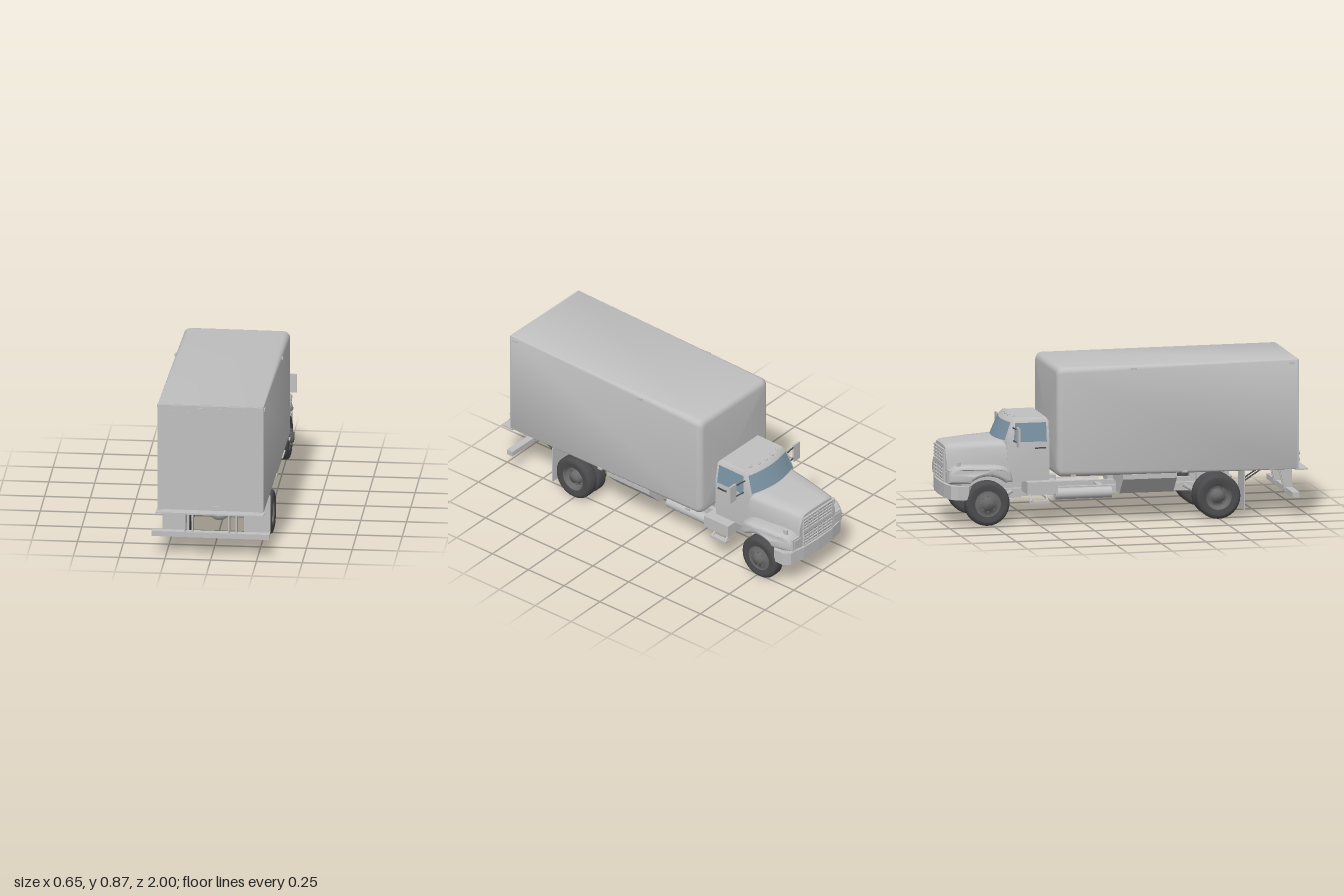
import * as THREE from 'three';
import { toCreasedNormals } from 'three/addons/utils/BufferGeometryUtils.js';

const mat = (name, color, side = THREE.FrontSide) => {
  const m = new THREE.MeshStandardMaterial({ color, side });
  m.name = name;
  return m;
};

// Skin over rings of points (each ring counter-clockwise about the sweep axis), capped at both ends
function loft(rings, crease = 0.6) {
  const n = rings[0].length, pos = rings.flat(2), idx = [];
  rings.slice(1).forEach((_, i) => {
    for (let j = 0; j < n; j++) {
      const a = i * n + j, b = i * n + (j + 1) % n;
      idx.push(a, b, b + n, a, b + n, a + n);
    }
  });
  [0, rings.length - 1].forEach((r, end) => {
    const c = pos.length / 3;
    pos.push(...[0, 1, 2].map(k => rings[r].reduce((s, p) => s + p[k], 0) / n));
    for (let j = 0; j < n; j++) {
      const a = r * n + j, b = r * n + (j + 1) % n;
      end ? idx.push(c, a, b) : idx.push(c, b, a);
    }
  });
  const g = new THREE.BufferGeometry();
  g.setAttribute('position', new THREE.Float32BufferAttribute(pos, 3));
  g.setIndex(idx);
  return toCreasedNormals(g, crease);
}

// Open sheet through rows of points
function sheet(rows) {
  const n = rows[0].length, idx = [];
  for (let i = 0; i < rows.length - 1; i++) for (let j = 0; j < n - 1; j++) {
    const a = i * n + j;
    idx.push(a, a + 1, a + n + 1, a, a + n + 1, a + n);
  }
  const g = new THREE.BufferGeometry();
  g.setAttribute('position', new THREE.Float32BufferAttribute(rows.flat(2), 3));
  g.setIndex(idx);
  g.computeVertexNormals();
  return g;
}

// Rounded rectangle ring in the xy plane
function roundRing(w, y0, y1, r, z) {
  const ring = [], cy = (y0 + y1) / 2, h = (y1 - y0) / 2;
  [[1, 1], [-1, 1], [-1, -1], [1, -1]].forEach(([sx, sy], q) => {
    for (let k = 0; k <= 5; k++) {
      const a = (q + k / 5) * Math.PI / 2;
      ring.push([sx * (w - r) + r * Math.cos(a), cy + sy * (h - r) + r * Math.sin(a), z]);
    }
  });
  return ring;
}

const poly = pts => new THREE.Shape(pts.map(p => new THREE.Vector2(...p)));

// Side profile (z, y) extruded across x
function extrudeX(shape, x0, x1, bevel = 0) {
  const g = new THREE.ExtrudeGeometry(shape, { depth: x1 - x0 - 2 * bevel, bevelEnabled: bevel > 0,
    bevelSize: bevel, bevelOffset: -bevel, bevelThickness: bevel, bevelSegments: 3, curveSegments: 16 });
  return g.rotateY(-Math.PI / 2).translate(x1 - bevel, 0, 0);
}

export function createModel() {
  const root = new THREE.Group(), truck = new THREE.Group();
  root.name = 'boxTruck';
  truck.name = 'truck';
  truck.rotation.y = -0.018;
  truck.position.x = 0.011;
  root.add(truck);

  const body = mat('bodyGrey', 0xc0c0c0), dark = mat('tyreBlack', 0x4c4c4e);
  const rim = mat('rimGrey', 0x6a6a6a, THREE.DoubleSide), glass = mat('windowGlass', 0x7a92a2, THREE.DoubleSide);
  const add = (name, geo, m = body) => {
    const mesh = new THREE.Mesh(geo, m);
    mesh.name = name;
    truck.add(mesh);
    return mesh;
  };
  const box = (name, x0, x1, y0, y1, z0, z1, m) => add(name, new THREE.BoxGeometry(x1 - x0, y1 - y0, z1 - z0)
    .translate((x0 + x1) / 2, (y0 + y1) / 2, (z0 + z1) / 2), m);
  const boxes = (name, x0, x1, ...rest) => {
    box(name, x0, x1, ...rest);
    box(name, -x1, -x0, ...rest);
  };
  const rod = (name, a, b, r, m) => {
    const p = new THREE.Vector3(...a), q = new THREE.Vector3(...b), d = q.clone().sub(p);
    const mesh = add(name, new THREE.CylinderGeometry(r, r, d.length(), 14), m);
    mesh.position.copy(p.add(q).multiplyScalar(0.5));
    mesh.quaternion.setFromUnitVectors(new THREE.Vector3(0, 1, 0), d.normalize());
  };

  // Cargo box: rounded at the cab end, sharp at the rear
  const R = 0.035, rings = [];
  for (let i = 0; i <= 5; i++) {
    const a = i / 5 * Math.PI / 2, inset = R * (1 - Math.sin(a));
    rings.push(roundRing(0.29 - inset, 0.26 + inset, 0.865 - inset, R, -0.4 + R * (1 - Math.cos(a))));
  }
  rings.push(roundRing(0.29, 0.26, 0.865, 0.004, 0.94));
  add('cargoBox', loft(rings));
  box('rearDoor', -0.26, 0.26, 0.275, 0.83, 0.94, 0.944);
  boxes('doorPost', 0.262, 0.29, 0.262, 0.863, 0.94, 0.949);
  box('doorHeader', -0.262, 0.262, 0.832, 0.863, 0.94, 0.949);
  box('rearLedge', -0.295, 0.295, 0.255, 0.263, 0.93, 0.998);
  box('doorHandle', 0.01, 0.05, 0.286, 0.293, 0.944, 0.952);
  for (const x of [-0.055, 0, 0.05]) box('rearMarker', x - 0.012, x + 0.012, 0.842, 0.85, 0.949, 0.954);
  for (const s of [-1, 1]) {
    for (const y of [0.315, 0.35]) rod('tailLight', [s * 0.276, y, 0.945], [s * 0.276, y, 0.954], 0.012);
    for (const [y, z] of [[0.845, 0.91], [0.845, 0.03], [0.27, 0.31], [0.27, -0.31]])
      box('sideMarker', s * 0.292 - 0.004, s * 0.292 + 0.004, y - 0.006, y + 0.006, z - 0.015, z + 0.015);
  }

  // Cab with a curved front
  const cabRing = (y, w, back, front, curve) => {
    const r = [[w, y, back]];
    for (let k = 6; k >= -6; k--) r.push([w * k / 6, y, front + curve * (k / 6) ** 2]);
    return [...r, [-w, y, back]];
  };
  add('cab', loft([cabRing(0.23, 0.183, -0.42, -0.66, 0.02), cabRing(0.45, 0.187, -0.42, -0.70, 0.04),
    cabRing(0.56, 0.168, -0.422, -0.645, 0.025), cabRing(0.577, 0.155, -0.435, -0.625, 0.02)], 0.5));
  const screenRow = y => {
    const u = (y - 0.45) / 0.11, row = [];
    for (let k = -6; k <= 6; k++)
      row.push([(0.187 - 0.019 * u) * 0.93 * k / 6, y, -0.704 + 0.055 * u + (0.04 - 0.015 * u) * (0.93 * k / 6) ** 2]);
    return row;
  };
  add('windshield', sheet([screenRow(0.458), screenRow(0.553)]), glass);
  for (const s of [-1, 1]) {
    add('sideWindow', sheet([[[s * 0.19, 0.447, -0.435], [s * 0.19, 0.447, -0.62]],
      [[s * 0.1725, 0.55, -0.435], [s * 0.1725, 0.55, -0.607]]]), glass);
    for (const y of [0.455, 0.525]) rod('mirrorArm', [s * 0.17, y, -0.62], [s * 0.25, y, -0.61], 0.004, dark);
  }
  boxes('mirror', 0.245, 0.296, 0.435, 0.54, -0.617, -0.607);
  boxes('doorHandle', 0.185, 0.193, 0.408, 0.415, -0.50, -0.44, dark);
  for (let i = -2; i <= 2; i++)
    add('roofLight', new THREE.SphereGeometry(0.009, 10, 6).translate(i * 0.055, 0.579, -0.622 + 0.004 * i * i));

  // Hood
  const hoodRing = (z, wb, wt, top) => {
    const half = [[wb, 0.23], [wb, 0.34], [wt + 0.008, top - 0.035], [wt, top - 0.014], [wt - 0.02, top - 0.003], [wt * 0.5, top]];
    return [...half.map(([x, y]) => [x, y, z]), ...half.reverse().map(([x, y]) => [-x, y, z])];
  };
  add('hood', loft([hoodRing(-0.985, 0.15, 0.122, 0.428), hoodRing(-0.972, 0.152, 0.13, 0.437),
    hoodRing(-0.82, 0.17, 0.152, 0.449), hoodRing(-0.64, 0.185, 0.178, 0.457)], 0.7));

  // Grille and headlights
  box('grilleRecess', -0.122, 0.122, 0.235, 0.408, -0.988, -0.982, rim);
  for (let i = 0; i <= 9; i++) {
    const y = 0.237 + i * 0.0188;
    box('grilleBar', -0.124, 0.124, y - 0.004, y + 0.004, -0.996, -0.984);
  }
  for (let i = -3; i <= 3; i++) box('grillePost', i * 0.04 - 0.003, i * 0.04 + 0.003, 0.235, 0.408, -0.994, -0.984);
  box('grilleDivider', -0.126, 0.126, 0.312, 0.328, -0.997, -0.984);
  boxes('headlightFrame', 0.13, 0.205, 0.24, 0.305, -0.984, -0.95);
  boxes('headlight', 0.14, 0.195, 0.25, 0.295, -0.989, -0.983);

  // Fenders arched over the front wheels, narrowing to both ends in plan
  const arch = new THREE.Shape();
  arch.moveTo(-0.63, 0.235);
  arch.lineTo(-0.64, 0.29);
  arch.quadraticCurveTo(-0.66, 0.325, -0.74, 0.328);
  arch.lineTo(-0.9, 0.332);
  arch.quadraticCurveTo(-0.97, 0.33, -0.983, 0.28);
  arch.lineTo(-0.985, 0.235);
  arch.lineTo(-0.875, 0.235);
  arch.absarc(-0.775, 0.12, 0.152, Math.PI * 0.728, Math.PI * 0.272, true);
  for (const s of [-1, 1]) {
    const g = extrudeX(arch, s > 0 ? 0.12 : -0.252, s > 0 ? 0.252 : -0.12, 0.018), p = g.attributes.position;
    for (let i = 0; i < p.count; i++) {
      const z = p.getZ(i), cut = Math.max(0, -0.87 - z) * 0.3 + Math.max(0, z + 0.7) * 0.3;
      p.setX(i, p.getX(i) - s * cut);
    }
    g.deleteAttribute('normal');
    add('fender', toCreasedNormals(g, 0.7));
    rod('fenderLight', [s * 0.2, 0.325, -0.93], [s * 0.2, 0.352, -0.93], 0.012);
  }

  // Wraparound front bumper
  const outer = [[0.24, -0.88], [0.24, -0.94], [0.21, -0.975], [0.12, -0.992], [0, -0.997]];
  const right = outer.map(([x, z]) => [x * 0.9, z + 0.02]);
  const flip = a => a.slice(0, -1).map(([x, z]) => [-x, z]);
  const bumper = poly([...outer, ...flip(outer).reverse(), ...flip(right), ...right.reverse()]);
  add('frontBumper', new THREE.ExtrudeGeometry(bumper, { depth: 0.075, bevelEnabled: false })
    .rotateX(Math.PI / 2).translate(0, 0.222, 0));

  // Wheels
  function wheel(x, z, s, w, front) {
    const h = w / 2, turn = g => g.rotateZ(-s * Math.PI / 2).translate(x, 0.123, z);
    const lathe = pts => turn(new THREE.LatheGeometry(pts.map(p => new THREE.Vector2(...p)), 32));
    add('tyre', lathe([[0.072, -h + 0.006], [0.1, -h], [0.114, -h + 0.005], [0.123, -h + 0.016],
      [0.123, h - 0.016], [0.114, h - 0.005], [0.1, h], [0.072, h - 0.006]]), dark);
    add('rim', lathe(front
      ? [[0.074, h - 0.006], [0.066, h - 0.014], [0.052, h - 0.004], [0.034, h], [0.028, h + 0.016], [0, h + 0.02]]
      : [[0.074, h - 0.006], [0.067, h - 0.01], [0.06, h - 0.04], [0.036, h - 0.04], [0.03, h - 0.01], [0, h - 0.006]]), rim);
    add('rimBack', turn(new THREE.CylinderGeometry(0.073, 0.073, 0.01, 32).translate(0, -h + 0.02, 0)), rim);
    for (let i = 0; i < 8; i++) {
      const a = i * Math.PI / 4, r = front ? 0.043 : 0.048;
      add('wheelNut', turn(new THREE.CylinderGeometry(0.005, 0.005, 0.012, 6)
        .translate(r * Math.cos(a), front ? h : h - 0.036, r * Math.sin(a))), rim);
    }
  }
  for (const s of [-1, 1]) {
    wheel(s * 0.211, -0.775, s, 0.076, true);
    wheel(s * 0.262, 0.5, s, 0.074, false);
    wheel(s * 0.183, 0.5, -s, 0.074, false);
  }

  // Chassis, axles and drive line
  boxes('frameRail', 0.075, 0.1, 0.135, 0.178, -0.94, 0.62);
  for (const z of [-0.88, -0.4, -0.1, 0.25, 0.6]) box('crossMember', -0.08, 0.08, 0.14, 0.17, z - 0.015, z + 0.015);
  boxes('boxMount', 0.075, 0.1, 0.17, 0.262, 0.42, 0.6);
  box('centreMount', -0.11, 0.11, 0.175, 0.262, 0, 0.25);
  rod('rearAxle', [-0.22, 0.123, 0.5], [0.22, 0.123, 0.5], 0.025);
  add('differential', new THREE.SphereGeometry(0.06, 20, 14).translate(0, 0.125, 0.5));
  rod('driveShaft', [0, 0.125, 0.45], [0, 0.15, -0.6], 0.014);
  box('gearbox', -0.06, 0.06, 0.12, 0.23, -0.88, -0.55);
  rod('frontAxle', [-0.2, 0.11, -0.775], [0.2, 0.11, -0.775], 0.02);
  for (const s of [-1, 1]) {
    for (const z of [0.5, -0.775]) {
      const leaf = new THREE.QuadraticBezierCurve3(new THREE.Vector3(s * 0.118, 0.17, z - 0.16),
        new THREE.Vector3(s * 0.118, 0.06, z), new THREE.Vector3(s * 0.118, 0.17, z + 0.16));
      add('leafSpring', new THREE.TubeGeometry(leaf, 12, 0.012, 6));
    }
    rod('airTank', [s * 0.16, 0.15, -0.07], [s * 0.16, 0.15, -0.385], 0.031);

    // Slanted side lockers
    const locker = [[0.1, 0.262], [0.1, 0.145], [0.19, 0.145], [0.28, 0.235], [0.28, 0.262]].map(([x, y]) => [s * x, y]);
    add('sideLocker', new THREE.ExtrudeGeometry(poly(locker), { depth: 0.3, bevelEnabled: false }).translate(0, 0, -0.03));

    // Hanging step loop
    const step = [[0.18, 0.17], [0.235, 0.12]];
    for (const z of [-0.44, -0.53]) rod('stepBracket', [s * step[0][0], 0.17, z], [s * step[1][0], 0.125, z], 0.006);

    // Rear bumper struts
    for (const x of [0.1, 0.14]) add('bumperStrut', extrudeX(poly([[0.87, 0.258], [0.94, 0.258], [0.945, 0.11], [0.905, 0.11]]),
      s * x - 0.004, s * x + 0.004));
    for (const x of [0.2, 0.253]) {
      rod('flapBrace', [s * x, 0.258, 0.74], [s * x, 0.2, 0.65], 0.004, dark);
      rod('flapBrace', [s * x, 0.258, 0.65], [s * x, 0.18, 0.65], 0.004, dark);
    }
  }
  boxes('stepBox', 0.1, 0.242, 0.165, 0.232, -0.555, -0.385);
  boxes('stepTread', 0.215, 0.245, 0.115, 0.127, -0.54, -0.43);
  boxes('mudFlap', 0.15, 0.295, 0.045, 0.26, 0.64, 0.646);
  box('rearBumper', -0.322, 0.322, 0.108, 0.137, 0.905, 0.945);
  boxes('cabMount', 0.06, 0.13, 0.17, 0.25, -0.43, -0.37);
  return root;
}
